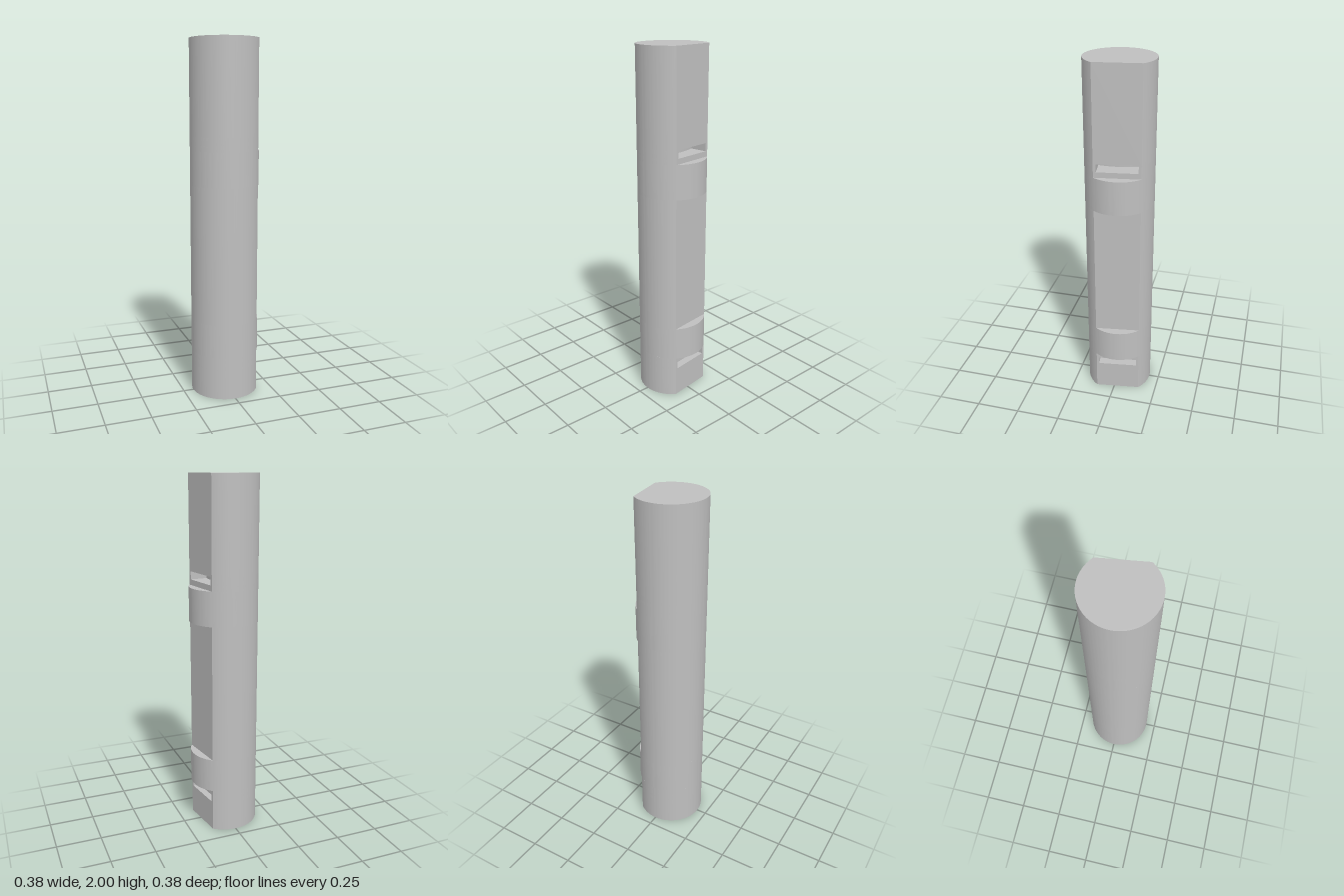
import * as THREE from 'three';
import { toCreasedNormals } from 'three/addons/utils/BufferGeometryUtils.js';

const R = 0.192;
const BACK = THREE.MathUtils.degToRad(49.6); // rear edge of the flat
const FRONT = THREE.MathUtils.degToRad(360 - 33.3); // front edge of the flat
const SLOT_DEPTH = 0.1;

// Round section cut by the flat, optionally with a pocket sunk into the flat
function flatSection(withSlot) {
  const s = new THREE.Shape();
  s.absarc(0, 0, R, BACK, FRONT, false);
  if (withSlot) {
    const f = new THREE.Vector2(Math.cos(FRONT), Math.sin(FRONT)).multiplyScalar(R);
    const b = new THREE.Vector2(Math.cos(BACK), Math.sin(BACK)).multiplyScalar(R);
    const out = b.clone().sub(f).normalize().rotateAround(new THREE.Vector2(), -Math.PI / 2);
    const at = (t, depth) => f.clone().lerp(b, t).addScaledVector(out, -depth);
    const c = at(0.5, SLOT_DEPTH - 0.03), p = at(0.06, SLOT_DEPTH), q = at(0.94, SLOT_DEPTH);
    const m = at(0.06, 0), n = at(0.94, 0);
    s.lineTo(m.x, m.y);
    s.lineTo(p.x, p.y);
    s.quadraticCurveTo(c.x, c.y, q.x, q.y);
    s.lineTo(n.x, n.y);
  }
  s.closePath();
  return s;
}

function roundSection() {
  const s = new THREE.Shape();
  s.absarc(0, 0, R, 0, Math.PI * 2, false);
  return s;
}

export function createModel() {
  const model = new THREE.Group();
  model.name = 'notchedRod';
  const grey = new THREE.MeshStandardMaterial({ color: 0xbfbfbf });
  grey.name = 'plain grey';

  const sections = {
    flattenedShaft: flatSection(false),
    slottedShaft: flatSection(true),
    roundBand: roundSection(),
  };

  // Stacked from the foot upward: part, bottom, top
  const layers = [
    ['flattenedShaft', 0, 0.17],
    ['slottedShaft', 0.17, 0.212],
    ['flattenedShaft', 0.212, 0.243],
    ['roundBand', 0.243, 0.434],
    ['flattenedShaft', 0.434, 1.207],
    ['roundBand', 1.207, 1.4],
    ['flattenedShaft', 1.4, 1.431],
    ['slottedShaft', 1.431, 1.476],
    ['flattenedShaft', 1.476, 2],
  ];
  layers.forEach(([part, bottom, top], i) => {
    const raw = new THREE.ExtrudeGeometry(sections[part], {
      depth: top - bottom, bevelEnabled: false, curveSegments: 64,
    });
    raw.rotateX(-Math.PI / 2);
    const mesh = new THREE.Mesh(toCreasedNormals(raw, 0.4), grey);
    mesh.name = `${part}${i + 1}`;
    mesh.position.y = bottom;
    model.add(mesh);
  });
  return model;
}
